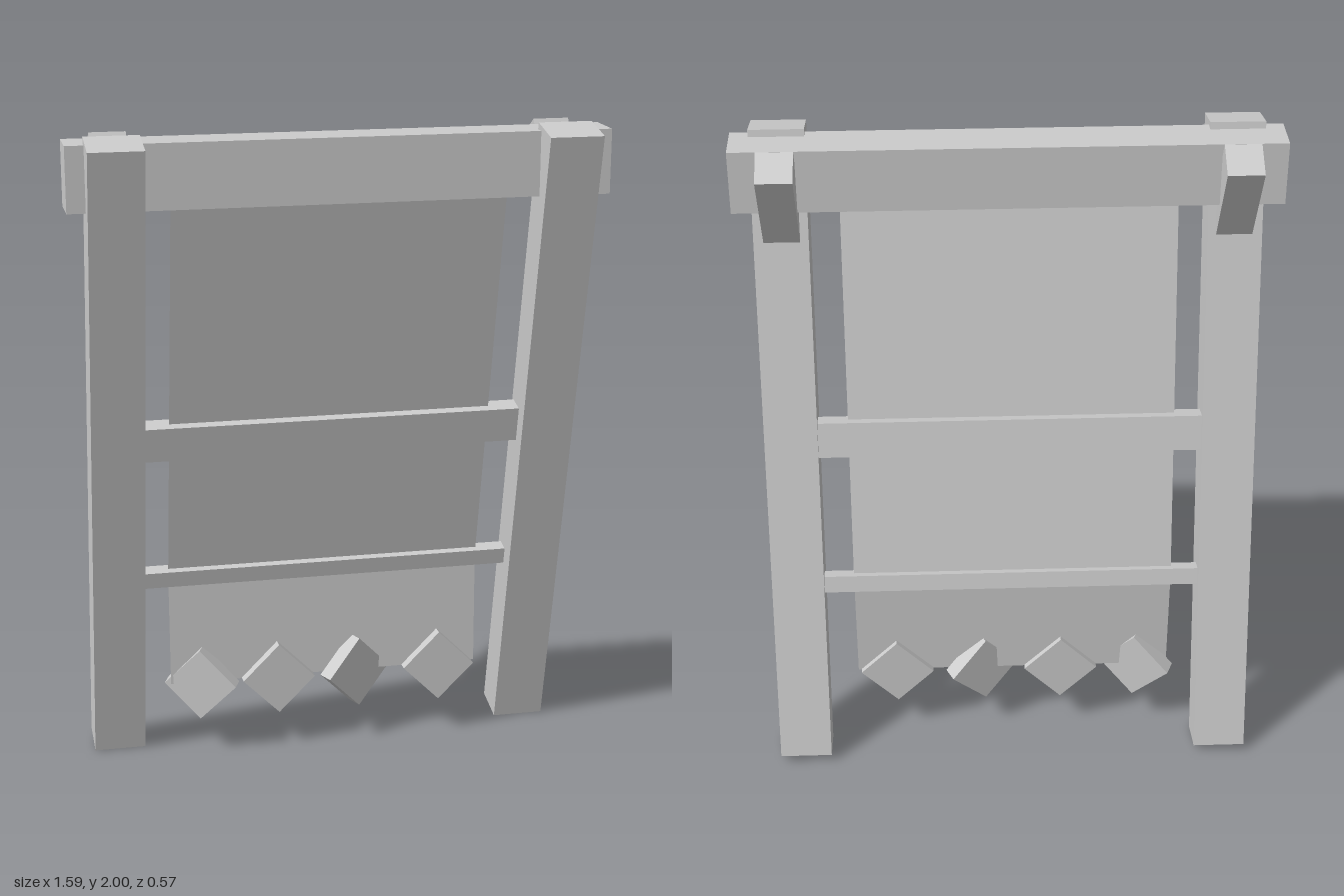
import * as THREE from 'three';

const LEAN = 0.213; // forward tilt of the whole frame

export function createModel() {
  const model = new THREE.Group();
  model.name = 'hangingRack';
  model.rotation.y = 0.0165;
  const mat = new THREE.MeshStandardMaterial({ color: 0xcccccc, flatShading: true });
  const clothMat = new THREE.MeshStandardMaterial({ color: 0xcccccc, flatShading: true, side: THREE.DoubleSide });

  const box = (name, size, pos, rot = [0, 0, 0]) => {
    const mesh = new THREE.Mesh(new THREE.BoxGeometry(...size), mat);
    mesh.name = name;
    mesh.position.set(...pos);
    mesh.rotation.set(...rot);
    model.add(mesh);
    return mesh;
  };

  // leaning posts and the slanted pegs that hold the beam
  for (const [side, s] of [['left', 1], ['right', -1]]) {
    box(side + 'Post', [0.16, 2.02, 0.125], [s * 0.658, 1, 0], [LEAN, 0, 0]);
    box(side + 'Peg', [0.106, 0.36, 0.105], [s * 0.656, 1.81, 0.066], [-0.524, 0, 0]);
  }

  // top beam
  box('topBeam', [1.584, 0.19, 0.132], [0, 1.885, 0.114]);

  // crossbars between the posts
  box('middleCrossbar', [1.2, 0.11, 0.06], [0, 1.06, -0.007], [LEAN, 0, 0]);
  box('lowerCrossbar', [1.2, 0.053, 0.045], [0, 0.59, -0.107], [LEAN, 0, 0]);

  // cloth: stretched along the frame, then hanging straight down
  const cloth = (name, y0, z0, y1, z1) => {
    const mesh = new THREE.Mesh(new THREE.PlaneGeometry(0.985, Math.hypot(y1 - y0, z1 - z0)), clothMat);
    mesh.name = name;
    mesh.position.set(-0.005, (y0 + y1) / 2, (z0 + z1) / 2);
    mesh.rotation.x = Math.atan2(z1 - z0, y1 - y0);
    model.add(mesh);
  };
  cloth('stretchedCloth', 0.59, -0.107, 1.85, 0.165);
  cloth('hangingCloth', 0.23, -0.1, 0.59, -0.107);

  // diamond weights along the hem, two of them twisted
  for (const [x, yaw] of [[-0.4, -0.38], [-0.157, 0], [0.092, 0.42], [0.363, 0]]) {
    box('hemWeight', [0.162, 0.162, 0.053], [x, 0.232, -0.093], [0, yaw, Math.PI / 4]);
  }
  return model;
}
